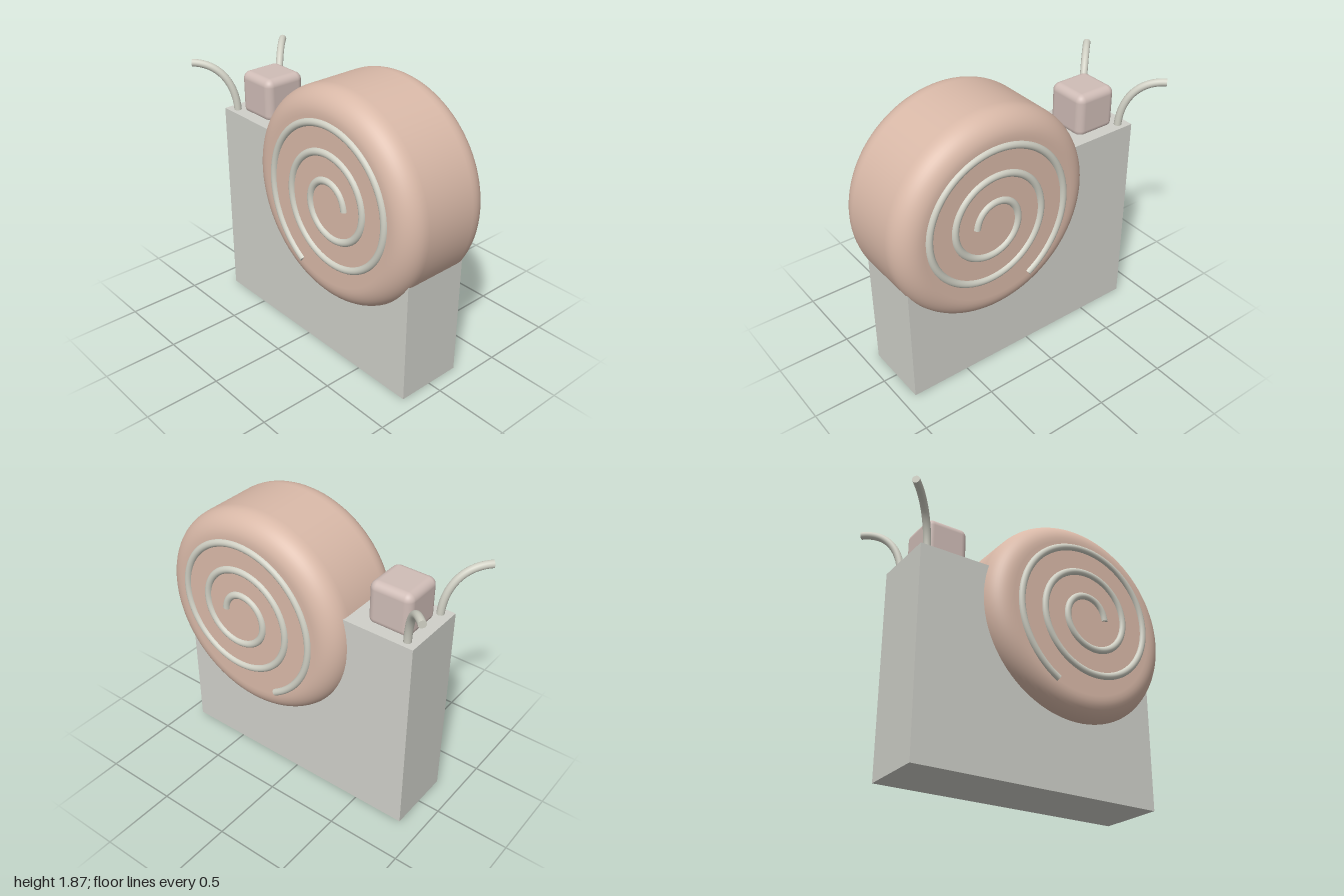
import * as THREE from 'three';
import { RoundedBoxGeometry } from 'three/addons/geometries/RoundedBoxGeometry.js';

const material = (color) => new THREE.MeshStandardMaterial({ color });

// Round-edged drum profile from one flat face to the other
function drumProfile(radius, half, fillet) {
  const side = [];
  for (let i = 0; i <= 12; i++) {
    const a = (i / 12) * Math.PI / 2;
    side.push(new THREE.Vector2(radius - fillet + fillet * Math.sin(a), -half + fillet - fillet * Math.cos(a)));
  }
  // extra points keep the flat areas evenly shaded
  const lower = [
    new THREE.Vector2(0, -half),
    new THREE.Vector2(radius - fillet - 0.01, -half),
    ...side,
    new THREE.Vector2(radius, -half + fillet + 0.01),
  ];
  const upper = lower.map((p) => new THREE.Vector2(p.x, -p.y)).reverse();
  return [...lower, ...upper];
}

// Evenly widening spiral lying on a side face of the shell
function spiralCurve(x) {
  const points = [];
  const turns = 16.79, steps = 130;
  for (let i = 0; i <= steps; i++) {
    const t = (i / steps) * turns;
    const r = 0.092 + 0.0284 * t + 0.026 * Math.exp(-t / 0.6);
    points.push(new THREE.Vector3(x, 1.185 + r * Math.sin(t), 0.352 + r * Math.cos(t)));
  }
  return new THREE.CatmullRomCurve3(points);
}

// Tube with flat end caps
function cappedTube(name, curve, radius, segments, mat) {
  const group = new THREE.Group();
  group.name = name;
  const tube = new THREE.Mesh(new THREE.TubeGeometry(curve, segments, radius, 16), mat);
  tube.name = name + 'Tube';
  group.add(tube);
  for (const end of [0, 1]) {
    const cap = new THREE.Mesh(new THREE.CircleGeometry(radius, 16), mat);
    cap.name = name + 'Cap';
    const p = curve.getPointAt(end);
    const dir = curve.getTangentAt(end).multiplyScalar(end ? 1 : -1);
    cap.position.copy(p);
    cap.quaternion.setFromUnitVectors(new THREE.Vector3(0, 0, 1), dir);
    group.add(cap);
  }
  return group;
}

export function createModel() {
  const model = new THREE.Group();
  const bodyMat = material(0xcfd0c9);
  const trimMat = material(0xd0d0c4);
  const shellMat = material(0xd9b9a8);
  const headMat = material(0xd0bdb7);

  // Upright slab body
  const body = new THREE.Mesh(new THREE.BoxGeometry(0.46, 1.39, 1.755), bodyMat);
  body.name = 'body';
  body.position.set(0, 0.695, 0.0275);
  model.add(body);

  // Round shell, axis along x
  const shell = new THREE.Mesh(new THREE.LatheGeometry(drumProfile(0.702, 0.34, 0.15), 96), shellMat);
  shell.name = 'shell';
  shell.rotation.z = -Math.PI / 2;
  shell.position.set(0, 1.17, 0.298);
  model.add(shell);

  // Head block, sunk slightly into the body
  const head = new THREE.Mesh(new RoundedBoxGeometry(0.295, 0.295, 0.295, 6, 0.05), headMat);
  head.name = 'head';
  head.position.set(0, 1.5125, -0.618);
  model.add(head);

  for (const [side, s] of [['left', 1], ['right', -1]]) {
    // Spiral on the shell face
    model.add(cappedTube(side + 'Spiral', spiralCurve(s * 0.335), 0.025, 320, trimMat));

    // Feeler curving up, outward and back
    const feeler = new THREE.CubicBezierCurve3(
      new THREE.Vector3(s * 0.175, 1.36, -0.778),
      new THREE.Vector3(s * 0.175, 1.56, -0.778),
      new THREE.Vector3(s * 0.245, 1.71, -0.848),
      new THREE.Vector3(s * 0.378, 1.71, -0.981),
    );
    model.add(cappedTube(side + 'Feeler', feeler, 0.025, 32, trimMat));
  }
  return model;
}
